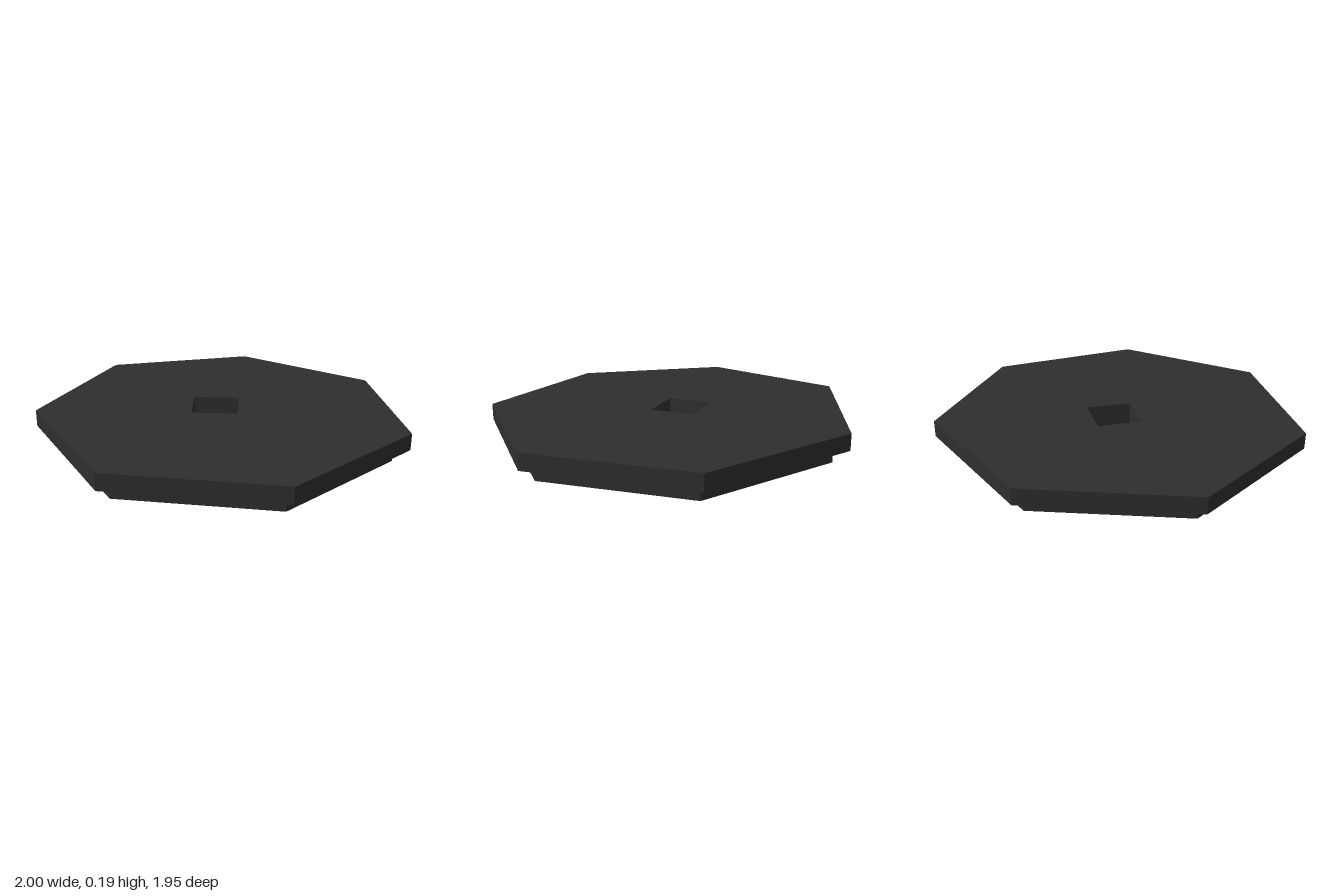
import * as THREE from 'three';

const CENTER_Z = 0.046;

// Closed outline; the y of the shape is -z of the model
function polygon(PathType, sides, radius, centerZ) {
  const path = new PathType();
  path.setFromPoints(Array.from({ length: sides }, (_, i) => {
    const a = Math.PI / 2 + (i * 2 * Math.PI) / sides;
    return new THREE.Vector2(radius * Math.cos(a), radius * Math.sin(a) - centerZ);
  }));
  path.closePath();
  return path;
}

// Seven-sided plate with a diamond hole, bent gently upwards towards the back
function plate(name, radius, bottom, top, material) {
  const shape = polygon(THREE.Shape, 7, radius, CENTER_Z);
  shape.holes.push(polygon(THREE.Path, 4, 0.18, -0.015));
  const geometry = new THREE.ExtrudeGeometry(shape, { depth: top - bottom, bevelEnabled: false });
  geometry.rotateX(-Math.PI / 2);
  geometry.translate(0, bottom, 0);
  const p = geometry.attributes.position;
  for (let i = 0; i < p.count; i++) {
    const t = Math.max(0, (0.97 - p.getZ(i)) / 1.95);
    p.setY(i, p.getY(i) + 0.03 * t ** 3);
  }
  geometry.computeVertexNormals();
  const mesh = new THREE.Mesh(geometry, material);
  mesh.name = name;
  return mesh;
}

export function createModel() {
  const charcoal = new THREE.MeshStandardMaterial({ color: 0x2e2e2e });
  charcoal.name = 'charcoal';

  const group = new THREE.Group();
  group.name = 'heptagonalPlate';
  group.add(
    plate('upperPlate', 1.026, 0.075, 0.165, charcoal),
    plate('lowerPlate', 0.9385, 0, 0.085, charcoal), // sunk slightly into the upper plate
  );
  return group;
}
